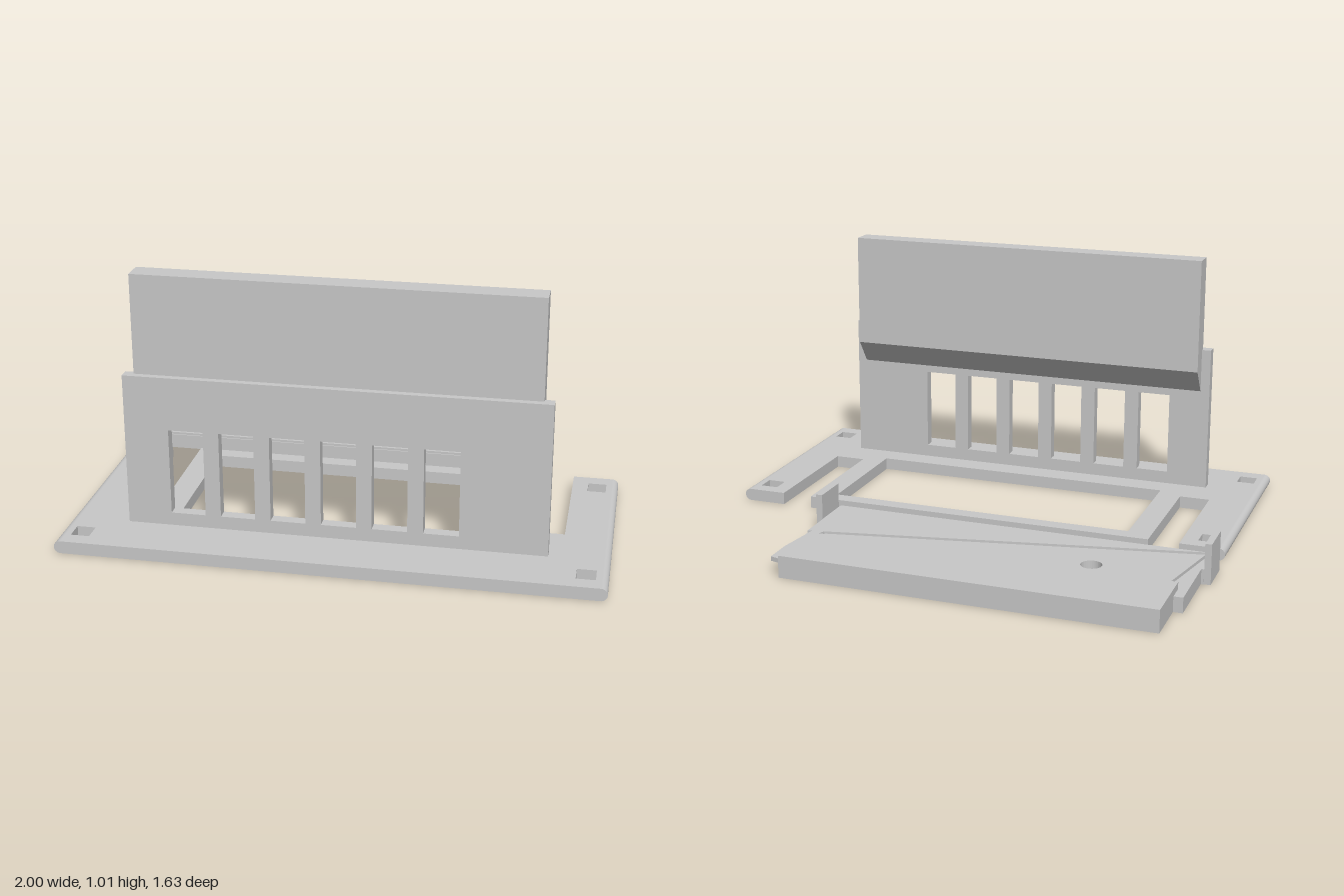
import * as THREE from 'three';

const grey = new THREE.MeshStandardMaterial({ color: 0xc8c8c8 });
grey.name = 'plain grey';

const rect = (x0, x1, z0, z1) => [[x0, z0], [x1, z0], [x1, z1], [x0, z1]];

function add(group, name, geometry) {
  const mesh = new THREE.Mesh(geometry, grey);
  mesh.name = name;
  group.add(mesh);
  return mesh;
}

// Outline points, always counter-clockwise so that every wall faces outwards
function toVectors(list) {
  const points = list.map(([a, b]) => new THREE.Vector2(a, b));
  return THREE.ShapeUtils.isClockWise(points) ? points.reverse() : points;
}

// Flat outline with holes, extruded along z
function extrude(points, holes, depth) {
  const shape = new THREE.Shape(toVectors(points));
  holes.forEach((h) => shape.holes.push(new THREE.Path(toVectors(h))));
  return new THREE.ExtrudeGeometry(shape, { depth, bevelEnabled: false });
}

// Horizontal slab from an outline in x and z, between two heights
function slab(points, holes, y0, y1) {
  const flip = (list) => list.map(([x, z]) => [x, -z]);
  return extrude(flip(points), holes.map(flip), y1 - y0).rotateX(-Math.PI / 2).translate(0, y0, 0);
}

function circle(cx, cz, r, n = 32) {
  return Array.from({ length: n }, (_, i) => {
    const a = (i / n) * Math.PI * 2;
    return [cx + r * Math.cos(a), cz + r * Math.sin(a)];
  });
}

export function createModel() {
  const model = new THREE.Group();
  model.name = 'bracketParts';

  // Base frame: window, two open slots and four square screw holes
  const frame = new THREE.Group();
  frame.name = 'baseFrame';
  model.add(frame);
  const e = 0.975;
  const outline = [
    [-e, -0.098], [-0.825, -0.098], [-0.825, 0.42], [-0.705, 0.42], [-0.705, -0.098],
    [0.703, -0.098], [0.703, 0.42], [0.825, 0.42], [0.825, -0.098], [e, -0.098], [e, 0.813], [-e, 0.813],
  ];
  const holes = [rect(-0.612, 0.612, -0.038, 0.465)];
  for (const x of [-0.92, 0.92]) {
    for (const z of [-0.007, 0.718]) holes.push(rect(x - 0.035, x + 0.035, z - 0.036, z + 0.036));
  }
  add(frame, 'basePlate', slab(outline, holes, 0, 0.048));

  // Rounded long edges of the base
  for (const side of [-1, 1]) {
    const round = new THREE.CylinderGeometry(0.025, 0.025, 0.911, 20, 1, false, side > 0 ? 0 : Math.PI, Math.PI);
    round.rotateX(Math.PI / 2).scale(1, 0.96, 1).translate(side * e, 0.024, 0.3575);
    add(frame, side > 0 ? 'leftRoundedEdge' : 'rightRoundedEdge', round);
  }

  // Upright wall with six openings
  const openings = [];
  for (let i = 0; i < 6; i++) {
    const x = -0.613 + i * 0.188;
    openings.push(rect(x, x + 0.13, 0.098, 0.428));
  }
  add(model, 'slottedWall', extrude(rect(-0.778, 0.778, 0.048, 0.63), openings, 0.043).translate(0, 0, 0.564));

  // Upper panel with a sloped underside, profile in z and y
  const profile = [[0.582, 1.007], [0.495, 1.007], [0.495, 0.553], [0.564, 0.457], [0.582, 0.457]];
  const panel = extrude(profile.map(([z, y]) => [-z, y]), [], 1.482);
  panel.rotateY(Math.PI / 2).translate(-0.741, 0, 0);
  add(model, 'upperPanel', panel);

  // Separate rear cover plate, narrower at the back
  const cover = new THREE.Group();
  cover.name = 'coverPlate';
  model.add(cover);
  const coverOutline = [
    [-0.93, -0.813], [0.485, -0.813], [0.485, -0.623], [0.52, -0.623], [0.52, -0.345], [0.532, -0.345],
    [0.532, -0.195], [-0.975, -0.195], [-0.975, -0.345], [-0.965, -0.345], [-0.965, -0.623], [-0.93, -0.623],
  ];
  add(cover, 'coverBase', slab(coverOutline,
    [circle(-0.583, -0.44, 0.04), circle(0.045, -0.57, 0.04)], 0, 0.058));
  add(cover, 'raisedBack', slab(rect(-0.93, 0.485, -0.813, -0.555), [], 0.058, 0.085));
  add(cover, 'raisedWedge', slab([[-0.965, -0.2], [0.52, -0.5], [0.52, -0.2]], [], 0.058, 0.067));
  add(cover, 'rightRidge', slab(
    [[-0.96, -0.21], [-0.89, -0.555], [-0.7, -0.555], [-0.86, -0.525]], [], 0.058, 0.07));

  // Thin arm that overhangs the left end of the cover
  add(cover, 'leftArm', slab(
    [[0.47, -0.813], [0.52, -0.8], [0.52, -0.69], [0.495, -0.505], [0.45, -0.5], [0.47, -0.56]],
    [], 0.056, 0.073));

  // End tabs of the cover
  for (const [name, x0, x1] of [['rightTab', -1, -0.975], ['leftTab', 0.532, 0.557]]) {
    add(cover, name, slab(rect(x0, x1, -0.343, -0.195), [], 0, 0.155));
  }
  return model;
}
